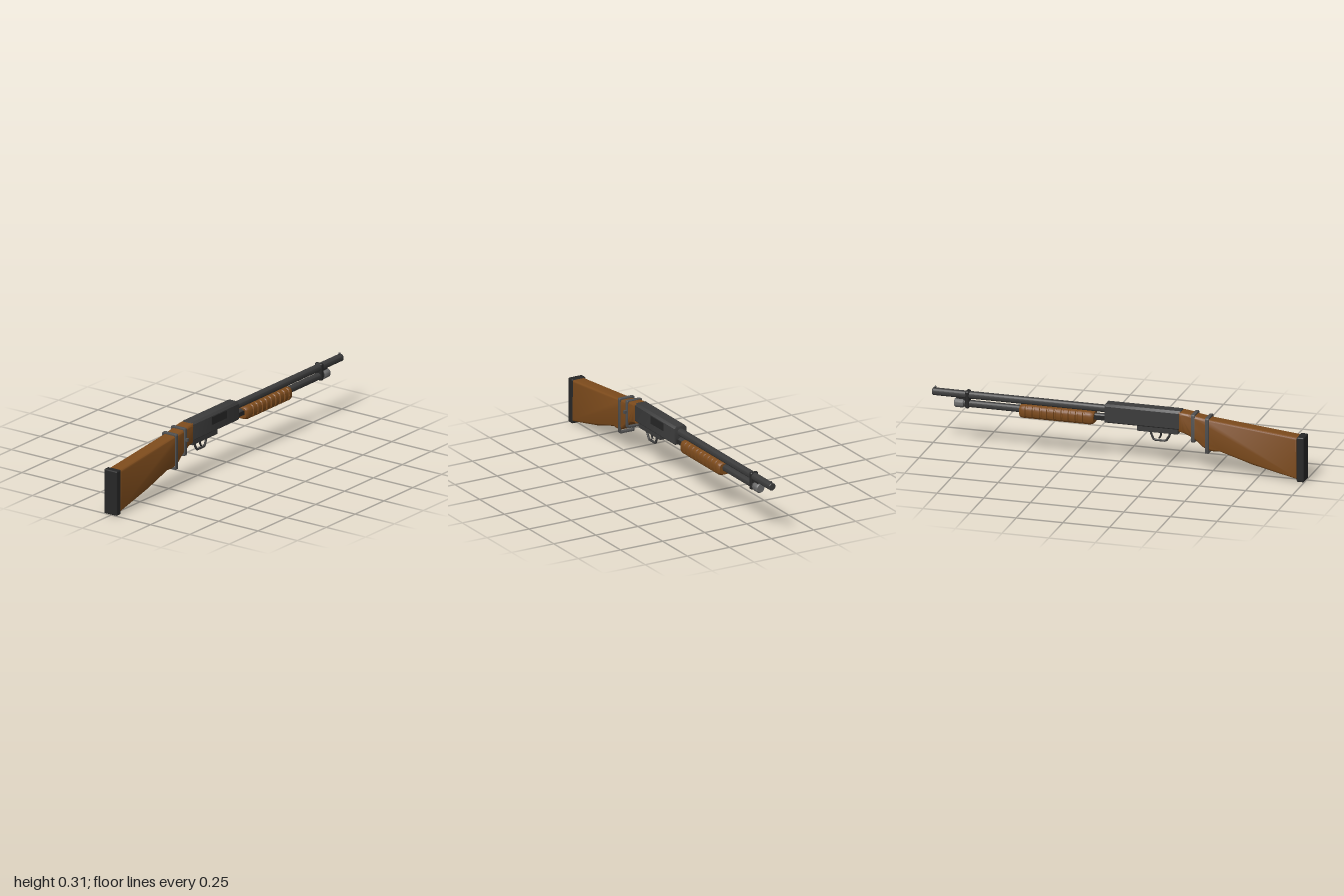
import * as THREE from 'three';
import { toCreasedNormals } from 'three/addons/utils/BufferGeometryUtils.js';
import { RoundedBoxGeometry } from 'three/addons/geometries/RoundedBoxGeometry.js';

const mat = (color) => new THREE.MeshStandardMaterial({ color });

export function createModel() {
  const root = new THREE.Group();
  root.position.z = -0.006;
  const steel = mat(0x3c3c3c), dark = mat(0x272727), wood = mat(0x7d4b1c);
  const bandGrey = mat(0x505050), capGrey = mat(0x6c6c6c);

  const add = (name, geo, material, x = 0, y = 0, z = 0) => {
    const m = new THREE.Mesh(geo, material);
    m.name = name;
    m.position.set(x, y, z);
    root.add(m);
    return m;
  };
  const box = (name, material, x0, x1, y0, y1, half, r = 0.004) =>
    add(name, new RoundedBoxGeometry(x1 - x0, y1 - y0, half * 2, 2, r), material, (x0 + x1) / 2, (y0 + y1) / 2);
  // Lathe along x: points are [x, radius]
  const turned = (name, material, y, pts) => {
    const g = new THREE.LatheGeometry(pts.map(([x, r]) => new THREE.Vector2(r, x)), 28);
    return add(name, toCreasedNormals(g.rotateZ(-Math.PI / 2), 0.6), material, 0, y);
  };
  // Rounded rectangle in the cross-section plane
  const roundRect = (path, w, y0, y1, r) => {
    path.moveTo(-w + r, y0);
    path.lineTo(w - r, y0);
    path.quadraticCurveTo(w, y0, w, y0 + r);
    path.lineTo(w, y1 - r);
    path.quadraticCurveTo(w, y1, w - r, y1);
    path.lineTo(-w + r, y1);
    path.quadraticCurveTo(-w, y1, -w, y1 - r);
    path.lineTo(-w, y0 + r);
    path.quadraticCurveTo(-w, y0, -w + r, y0);
    return path;
  };
  // Cross-section swept along x from x0 to x1
  const alongX = (shape, x0, x1, bevel) => {
    const g = new THREE.ExtrudeGeometry(shape, {
      depth: x1 - x0 - 2 * bevel, bevelEnabled: true, bevelSize: bevel, bevelOffset: -bevel,
      bevelThickness: bevel, bevelSegments: 2, curveSegments: 6,
    });
    g.translate(0, 0, x0 + bevel).rotateY(Math.PI / 2);
    return toCreasedNormals(g, 0.6);
  };

  // Shoulder stock: side profile with rounded edges
  const s = new THREE.Shape();
  s.moveTo(-0.965, 0.014);
  s.lineTo(-0.72, 0.07);
  s.lineTo(-0.55, 0.122);
  s.quadraticCurveTo(-0.49, 0.112, -0.45, 0.142);
  s.quadraticCurveTo(-0.39, 0.2, -0.325, 0.208);
  s.lineTo(-0.325, 0.314);
  s.quadraticCurveTo(-0.37, 0.313, -0.42, 0.3);
  s.lineTo(-0.5, 0.287);
  s.lineTo(-0.965, 0.24);
  const stock = new THREE.ExtrudeGeometry(s, {
    depth: 0.052, bevelEnabled: true, bevelSize: 0.013, bevelOffset: -0.013,
    bevelThickness: 0.013, bevelSegments: 4, curveSegments: 10,
  });
  add('stock', toCreasedNormals(stock.translate(0, 0, -0.026), 0.6), wood);
  box('buttPad', dark, -1, -0.96, 0.003, 0.245, 0.041, 0.007);

  // Two bands around the wrist and the latch on one of them
  for (const [x, y0, y1] of [[-0.48, 0.107, 0.3], [-0.405, 0.16, 0.311]]) {
    const ring = roundRect(new THREE.Shape(), 0.045, y0, y1, 0.01);
    ring.holes.push(roundRect(new THREE.Path(), 0.036, y0 + 0.011, y1 - 0.011, 0.006));
    add('wristBand', alongX(ring, x - 0.01, x + 0.01, 0.003), bandGrey);
  }
  add('bandLatch', new THREE.BoxGeometry(0.015, 0.015, 0.02), bandGrey, -0.405, 0.25, 0.05);

  // Receiver with chamfered top edges
  const r = new THREE.Shape();
  [[-0.03, 0.218], [0.03, 0.218], [0.036, 0.224], [0.036, 0.306], [0.026, 0.318],
    [-0.026, 0.318], [-0.036, 0.306], [-0.036, 0.224]].forEach(([z, y], i) => (i ? r.lineTo(z, y) : r.moveTo(z, y)));
  add('receiver', alongX(r, -0.335, 0.07, 0.004), steel);
  add('ejectionPort', new THREE.BoxGeometry(0.13, 0.042, 0.004), dark, -0.105, 0.28, 0.035);

  // Trigger group
  box('triggerPlate', steel, -0.32, -0.1, 0.188, 0.224, 0.024);
  const guard = new THREE.CurvePath();
  const gp = [[-0.272, 0.19], [-0.268, 0.172], [-0.252, 0.145], [-0.243, 0.141],
    [-0.191, 0.141], [-0.182, 0.145], [-0.17, 0.172], [-0.168, 0.19]].map(([x, y]) => new THREE.Vector3(x, y, 0));
  for (let i = 1; i < gp.length; i++) guard.add(new THREE.LineCurve3(gp[i - 1], gp[i]));
  add('triggerGuard', new THREE.TubeGeometry(guard, 48, 0.006, 8), steel);
  const trigger = new THREE.QuadraticBezierCurve3(
    new THREE.Vector3(-0.222, 0.19, 0), new THREE.Vector3(-0.226, 0.168, 0), new THREE.Vector3(-0.212, 0.152, 0));
  add('trigger', new THREE.TubeGeometry(trigger, 8, 0.005, 8), dark);

  // Barrel, magazine tube and end cap
  turned('barrel', steel, 0.284, [[0.06, 0], [0.06, 0.02], [0.996, 0.02], [1, 0.017], [1, 0]]);
  turned('magazineTube', steel, 0.237, [[0.06, 0], [0.06, 0.019], [0.84, 0.019], [0.84, 0]]);
  turned('magazineCap', capGrey, 0.237, [[0.832, 0], [0.832, 0.022], [0.837, 0.025], [0.875, 0.025], [0.881, 0.021], [0.881, 0]]);
  box('barrelClamp', dark, 0.8, 0.822, 0.214, 0.308, 0.023, 0.009);
  box('clampBridge', dark, 0.81, 0.87, 0.25, 0.275, 0.01);
  add('beadSight', new THREE.SphereGeometry(0.006, 12, 8), steel, 0.986, 0.308);
  add('beadPost', new THREE.CylinderGeometry(0.004, 0.005, 0.012, 10), steel, 0.986, 0.303);

  // Action bars linking the forend to the receiver
  for (const side of [-1, 1]) {
    add('actionBar', new THREE.BoxGeometry(0.12, 0.022, 0.005), dark, 0.11, 0.237, side * 0.021);
  }

  // Ribbed forend: rounded sections along x, pinched at each groove
  const stations = [[0.13, 0], [0.13, 0.8], [0.136, 0.91], [0.15, 1]];
  for (let i = 0; i < 9; i++) {
    const x = 0.174 + i * 0.0385;
    stations.push([x, 1], [x + 0.003, 1, 0.006], [x + 0.011, 1, 0.006], [x + 0.014, 1]);
  }
  stations.push([0.51, 1], [0.522, 0.91], [0.527, 0.8], [0.527, 0]);
  const N = 32, pos = [], idx = [];
  stations.forEach(([x, k, pinch = 0], j) => {
    for (let i = 0; i < N; i++) {
      const a = (i / N) * Math.PI * 2, c = Math.cos(a), n = Math.sin(a);
      const z = Math.sign(c) * Math.abs(c) ** 0.55 * 0.044;
      const y = Math.sign(n) * Math.abs(n) ** 0.65 * 0.036;
      const groove = n > -0.85 ? pinch * Math.sign(c) * Math.min(1, Math.abs(c) * 2) : 0;
      pos.push(x, 0.232 + y * k, z * k - groove);
      if (j) {
        const p = (j - 1) * N, q = j * N, m = (i + 1) % N;
        idx.push(p + i, p + m, q + i, p + m, q + m, q + i);
      }
    }
  });
  const forend = new THREE.BufferGeometry();
  forend.setAttribute('position', new THREE.Float32BufferAttribute(pos, 3));
  forend.setIndex(idx.reverse());
  // Wind the faces outward
  const f = forend.index.array, A = new THREE.Vector3(), B = new THREE.Vector3(), C = new THREE.Vector3();
  const t = 3 * 2 * N * 3;
  [A, B, C].forEach((v, i) => v.fromBufferAttribute(forend.attributes.position, f[t + i]));
  const mid = new THREE.Vector3(A.x, 0.232, 0);
  if (B.sub(A).cross(C.sub(A)).dot(A.clone().sub(mid)) < 0) forend.setIndex(idx.reverse());
  add('forend', toCreasedNormals(forend, 0.5), wood);

  return root;
}
